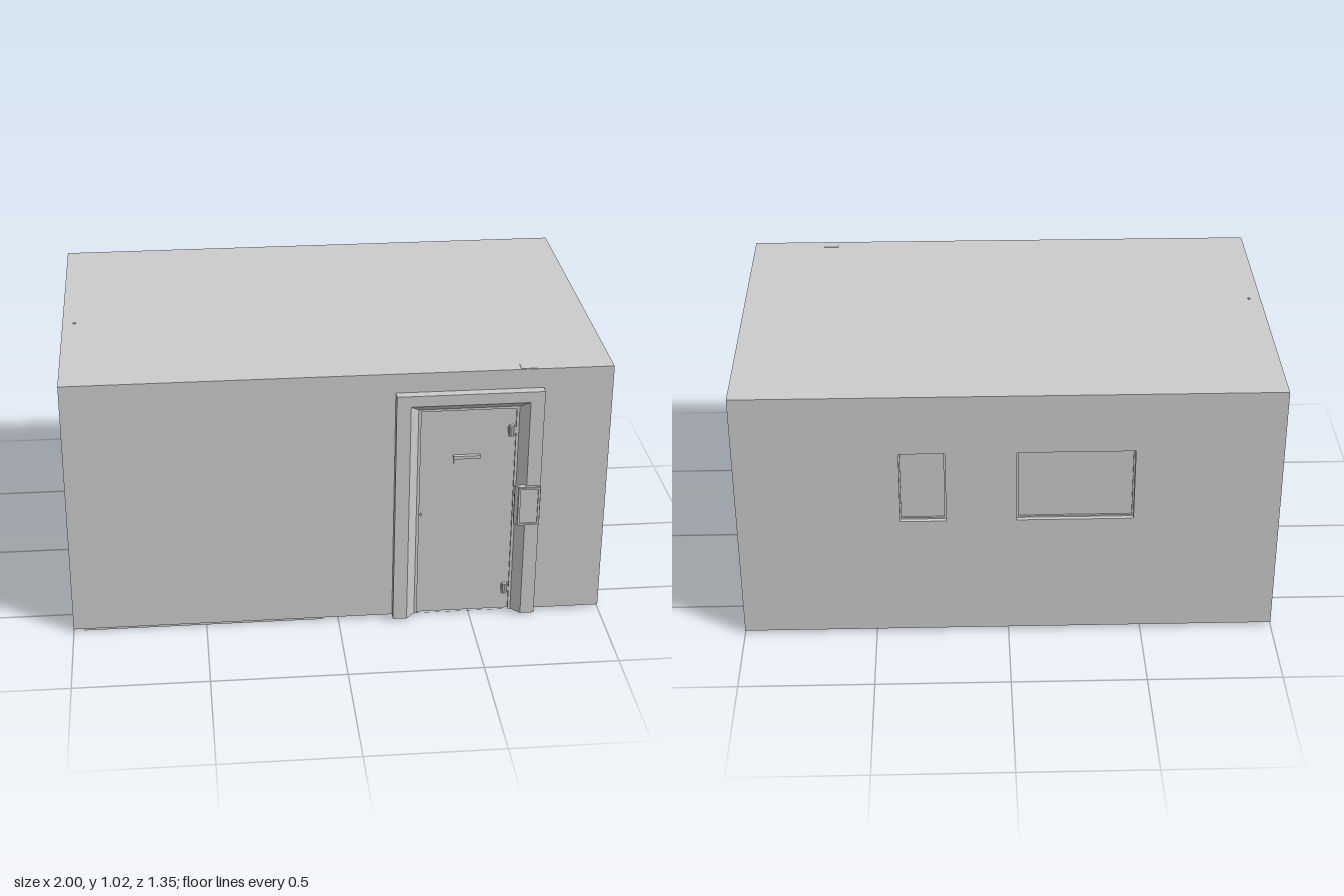
import * as THREE from 'three';

const BASE = 0.012, TOP = 1.02, BACK = -0.675, FRONT = 0.625;

export function createModel() {
  const model = new THREE.Group();
  const grey = new THREE.MeshStandardMaterial({ color: 0xcccccc, flatShading: true, side: THREE.DoubleSide });

  const add = (name, geometry, parent = model) => {
    const mesh = new THREE.Mesh(geometry, grey);
    mesh.name = name;
    parent.add(mesh);
    return mesh;
  };
  // Box given by its limits on each axis
  const block = (name, x0, x1, y0, y1, z0, z1, parent) => {
    const mesh = add(name, new THREE.BoxGeometry(x1 - x0, y1 - y0, z1 - z0), parent);
    mesh.position.set((x0 + x1) / 2, (y0 + y1) / 2, (z0 + z1) / 2);
    return mesh;
  };
  const rect = (x0, x1, y0, y1, Type = THREE.Shape) => new Type([
    [x0, y0], [x1, y0], [x1, y1], [x0, y1]].map(p => new THREE.Vector2(...p)));

  // Outer shell: thin walls and roof, open underneath
  const T = 0.003;
  block('roof', -1, 1, TOP - T, TOP, BACK, FRONT);
  block('leftWall', 1 - T, 1, BASE, TOP, BACK, FRONT);
  block('rightWall', -1, -1 + T, BASE, TOP, BACK, FRONT);

  const windows = [[0.23, 0.40, 0.495, 0.785], [-0.46, -0.03, 0.495, 0.785]];
  const backShape = rect(-1, 1, BASE, TOP);
  windows.forEach(w => backShape.holes.push(rect(...w, THREE.Path)));
  add('backWall', new THREE.ShapeGeometry(backShape)).position.z = BACK;

  const frontShape = rect(-1, 1, BASE, TOP);
  frontShape.holes.push(rect(0.30, 0.65, BASE + 0.001, 0.865, THREE.Path));
  add('frontWall', new THREE.ShapeGeometry(frontShape)).position.z = FRONT;

  // Recessed windows: lining, slim inner frame and pane
  windows.forEach(([x0, x1, y0, y1]) => {
    const group = new THREE.Group();
    group.name = 'window';
    model.add(group);
    const ring = (name, out, inn, z, depth) => {
      const s = rect(x0 - out, x1 + out, y0 - out, y1 + out);
      s.holes.push(rect(x0 + inn, x1 - inn, y0 + inn, y1 - inn, THREE.Path));
      add(name, new THREE.ExtrudeGeometry(s, { depth, bevelEnabled: false }), group).position.z = z;
    };
    ring('lining', 0.006, 0, BACK + 0.001, 0.027);
    ring('innerFrame', 0, 0.006, BACK + 0.018, 0.008);
    block('pane', x0, x1, y0, y1, BACK + 0.025, BACK + 0.028, group);
  });

  // Rooms, with the hollow walls left as gaps between them
  block('hall', -0.965, 0.965, BASE, 0.98, -0.12, 0.59);
  block('bedroom', -0.965, 0.02, BASE, 0.98, -0.64, -0.12);
  block('bathroom', 0.06, 0.965, BASE, 0.98, -0.64, -0.16);
  block('innerDoorway', 0.23, 0.57, BASE, 0.86, -0.16, -0.12);
  block('entrance', 0.30, 0.65, BASE, 0.86, 0.59, 0.612);

  // Shapes showing under the floor
  block('loungeBase', -0.96, -0.06, 0.002, 0.02, 0.115, 0.62);
  block('bedBase', -0.92, 0, 0.008, 0.02, -0.64, -0.07);
  block('cabinetBase', 0.74, 0.96, 0.006, 0.02, -0.04, 0.47);
  const tray = new THREE.Shape([
    [0.54, 0.64], [0.96, 0.64], [0.96, 0.20], [0.69, 0.23], [0.60, 0.32], [0.56, 0.42],
  ].map(p => new THREE.Vector2(...p)));
  const trayMesh = add('showerTray', new THREE.ExtrudeGeometry(tray, { depth: 0.012, bevelEnabled: false }));
  trayMesh.rotation.x = -Math.PI / 2;
  trayMesh.position.y = 0.007;
  add('drain', new THREE.CylinderGeometry(0.058, 0.058, 0.014, 20)).position.set(0.257, 0.007, -0.475);

  // Small fittings just breaking through the roof
  block('roofFitting', 0.66, 0.72, TOP - 0.01, TOP + 0.002, 0.575, 0.622);
  add('roofVent', new THREE.CylinderGeometry(0.006, 0.006, 0.012, 8)).position.set(-0.955, TOP - 0.003, 0.063);

  // Entrance door
  const door = new THREE.Group();
  door.name = 'frontDoor';
  model.add(door);
  block('doorLeaf', 0.295, 0.655, BASE, 0.87, 0.605, 0.615, door);

  // Door surround: cross-section loops from wall, round the face, into the splayed opening
  const loops = [ // left x, right x, top y, z
    [0.205, 0.745, 0.945, FRONT], [0.205, 0.745, 0.945, 0.66],
    [0.257, 0.693, 0.903, 0.66], [0.30, 0.65, 0.865, 0.614], [0.205, 0.745, 0.945, FRONT],
  ];
  const pos = [], index = [];
  loops.forEach(([x0, x1, y, z]) => pos.push(x0, BASE, z, x0, y, z, x1, y, z, x1, BASE, z));
  for (let i = 0; i < loops.length - 1; i++) {
    for (let j = 0; j < 3; j++) {
      const a = i * 4 + j, b = a + 4;
      index.push(a, a + 1, b, a + 1, b + 1, b);
    }
  }
  // Feet of the surround
  index.push(0, 4, 8, 0, 8, 12, 3, 11, 7, 3, 15, 11);
  const surround = new THREE.BufferGeometry();
  surround.setAttribute('position', new THREE.Float32BufferAttribute(pos, 3));
  surround.setIndex(index);
  surround.computeVertexNormals();
  add('doorSurround', surround, door);

  // Hinges, letter slot and lock
  for (const y of [0.105, 0.775]) {
    block('hingePlate', 0.622, 0.65, y - 0.014, y + 0.014, 0.61, 0.622, door);
    add('hingePin', new THREE.CylinderGeometry(0.01, 0.01, 0.042, 8), door).position.set(0.634, y, 0.622);
  }
  block('slotPlate', 0.425, 0.52, 0.64, 0.668, 0.61, 0.619, door);
  block('slotHood', 0.422, 0.522, 0.668, 0.68, 0.61, 0.63, door);
  const lock = add('lock', new THREE.CylinderGeometry(0.005, 0.005, 0.012, 8), door);
  lock.rotation.x = Math.PI / 2;
  lock.position.set(0.307, 0.436, 0.617);

  // Control panel on the surround, chamfered on its inner side, with a raised rim
  const panel = new THREE.Shape([
    [0.65, -0.65], [0.745, -0.65], [0.745, -0.67], [0.668, -0.67], [0.65, -0.658],
  ].map(p => new THREE.Vector2(...p)));
  const panelMesh = add('controlPanel', new THREE.ExtrudeGeometry(panel, { depth: 0.16, bevelEnabled: false }), door);
  panelMesh.rotation.x = -Math.PI / 2;
  panelMesh.position.y = 0.402;
  const rim = rect(0.662, 0.743, 0.404, 0.56);
  rim.holes.push(rect(0.67, 0.735, 0.411, 0.553, THREE.Path));
  add('panelRim', new THREE.ExtrudeGeometry(rim, { depth: 0.008, bevelEnabled: false }), door).position.z = 0.667;

  return model;
}
